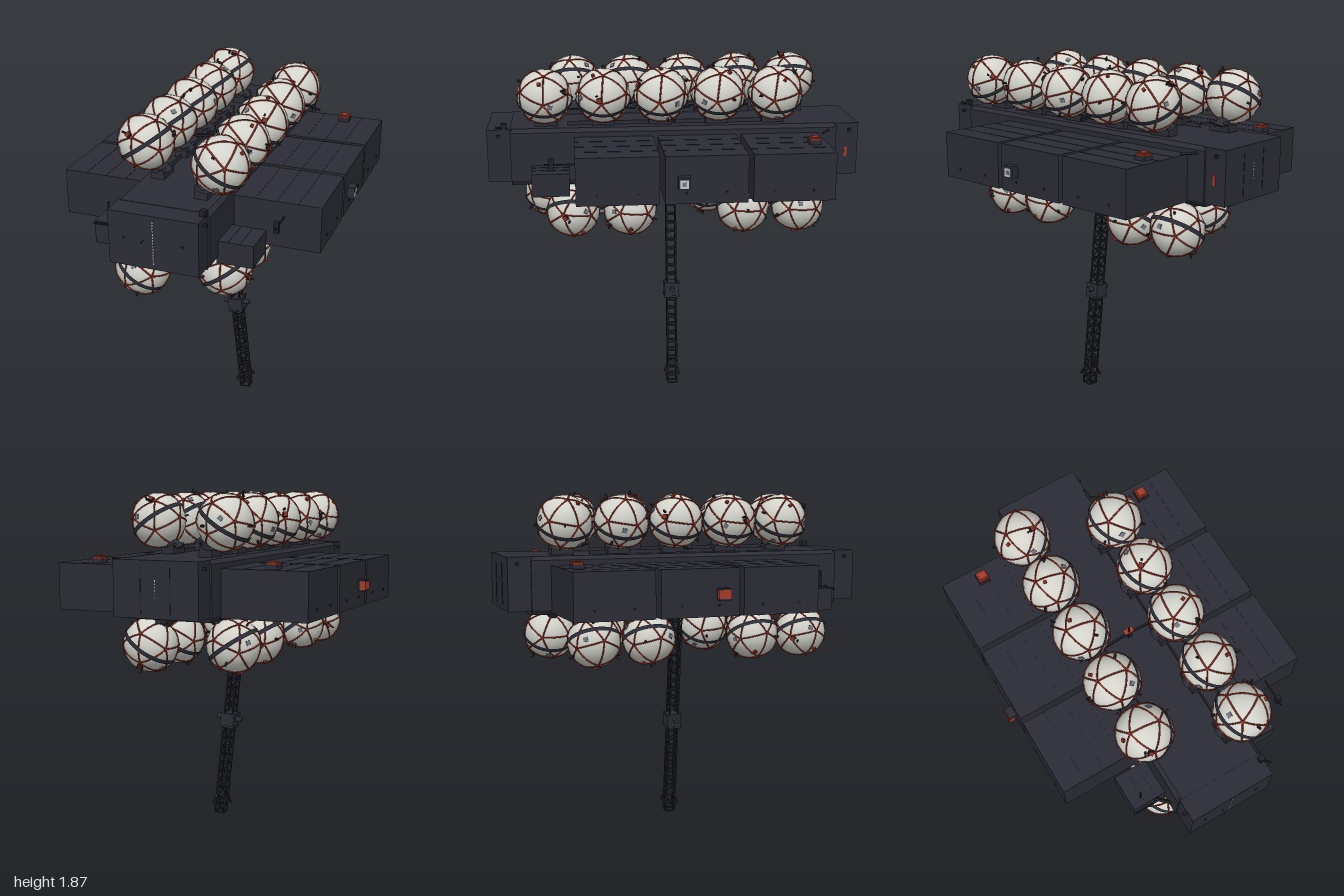
import * as THREE from 'three';
import { mergeGeometries } from 'three/addons/utils/BufferGeometryUtils.js';

const mat = (name, color) => {
  const m = new THREE.MeshStandardMaterial({ color });
  m.name = name;
  return m;
};
const V = (x, y, z) => new THREE.Vector3(x, y, z);

export function createModel() {
  const hull = mat('hullGrey', 0x2b2c35);
  const black = mat('strutBlack', 0x202127);
  const white = mat('tankWhite', 0xd4d4cd);
  const red = mat('strapRed', 0x8c2e21);
  const signal = mat('signalRed', 0xa83c2a);
  const pale = mat('paleGrey', 0xc4c6ca);
  const slate = mat('slateGrey', 0x70757f);

  const root = new THREE.Group();
  root.name = 'tankCarrier';
  const add = (name, geo, m, parent = root) => {
    const mesh = new THREE.Mesh(geo, m);
    mesh.name = name;
    parent.add(mesh);
  };
  // Box given by its limits on each axis, and box given by centre and size
  const block = (x0, x1, y0, y1, z0, z1) => new THREE.BoxGeometry(x1 - x0, y1 - y0, z1 - z0)
    .translate((x0 + x1) / 2, (y0 + y1) / 2, (z0 + z1) / 2);
  const cube = (x, y, z, w, h = w, d = w) => new THREE.BoxGeometry(w, h, d).translate(x, y, z);
  // Square bar between two points
  const bar = (a, b, t) => {
    const d = b.clone().sub(a);
    const q = new THREE.Quaternion().setFromUnitVectors(V(0, 1, 0), d.clone().normalize());
    return new THREE.BoxGeometry(t, d.length(), t).applyQuaternion(q)
      .translate((a.x + b.x) / 2, (a.y + b.y) / 2, (a.z + b.z) / 2);
  };

  // Central body: chamfered section run along z, with end blocks
  const section = new THREE.Shape([
    [-0.225, 1.235], [0.225, 1.235], [0.24, 1.26], [0.24, 1.515], [0.22, 1.535],
    [-0.22, 1.535], [-0.24, 1.515], [-0.24, 1.26],
  ].map(([x, y]) => new THREE.Vector2(x, y)));
  add('centralBody', new THREE.ExtrudeGeometry(section, { depth: 1.73, bevelEnabled: false })
    .translate(0, 0, -0.88), hull);
  add('frontBlock', block(-0.23, 0.23, 1.255, 1.533, 0.84, 0.97), hull);
  add('rearBlock', block(-0.23, 0.23, 1.255, 1.535, -1, -0.87), hull);

  // Side containers, three on each side with open joints, and raised roof seams
  const containers = [], fittings = [];
  for (const s of [-1, 1]) {
    for (const z of [-0.57, -0.13, 0.31]) {
      containers.push(cube(s * 0.46, 1.367, z, 0.46, 0.243, 0.414));
      for (const x of [0.35, 0.46, 0.57]) containers.push(cube(s * x, 1.489, z, 0.002, 0.002, 0.414));
      for (const dz of [-0.1, 0.1]) fittings.push(cube(s * 0.69, 1.3, z + dz, 0.008, 0.012, 0.012));
    }
    // Small forward lockers
    containers.push(cube(s * 0.325, 1.28, 0.643, 0.19, 0.12, 0.195));
    for (const x of [0.29, 0.35]) containers.push(cube(s * x, 1.341, 0.643, 0.002, 0.002, 0.195));
    // Roof beacons
    add('beaconBase', cube(s * 0.485, 1.499, -0.705, 0.06, 0.024, 0.06), hull);
    add('beaconRim', cube(s * 0.485, 1.515, -0.705, 0.056, 0.012, 0.056), red);
    add('beaconLens', cube(s * 0.485, 1.523, -0.705, 0.036, 0.008, 0.036), signal);
    // Tie-down hooks
    for (const z of [-0.95, 0.91]) fittings.push(cube(s * 0.235, 1.5, z, 0.025, 0.015, 0.015));
    fittings.push(cube(s * 0.15, 1.4, 0.971, 0.015, 0.008, 0.006));
    fittings.push(cube(s * 0.08, 1.39, -1, 0.003, 0.22, 0.004));
  }
  add('sideContainers', mergeGeometries(containers), hull);

  // Side ports: pale window on the left, red lamp on the right
  add('leftPort', cube(0.71, 1.36, -0.015, 0.04, 0.06, 0.06), hull);
  add('leftPortFrame', cube(0.731, 1.357, -0.012, 0.006, 0.044, 0.044), pale);
  add('leftPortGlass', cube(0.733, 1.357, -0.012, 0.006, 0.02, 0.02), slate);
  add('rightPort', cube(-0.71, 1.36, -0.015, 0.04, 0.06, 0.06), hull);
  add('rightLamp', cube(-0.718, 1.36, -0.015, 0.03, 0.044, 0.066), signal);
  add('sideMarker', cube(0.231, 1.38, -0.935, 0.006, 0.055, 0.014), signal);

  // Dotted light lines on the nose and rear
  const dots = [];
  for (let i = 0; i < 15; i++) dots.push(cube(0, 1.285 + i * 0.0155, 0.971, 0.005, 0.008, 0.004));
  for (let i = 0; i < 6; i++) dots.push(cube(0, 1.36 + i * 0.0155, -1, 0.005, 0.008, 0.004));
  add('endMarks', mergeGeometries(dots), pale);

  // Roof mast, aerials and instrument booms
  fittings.push(
    bar(V(0, 1.53, -0.015), V(0, 1.635, -0.015), 0.008), cube(0, 1.565, -0.015, 0.022, 0.05, 0.022),
    bar(V(-0.2, 1.555, -0.015), V(0, 1.575, -0.015), 0.012),
    bar(V(0.2, 1.555, -0.015), V(0, 1.575, -0.015), 0.012),
    bar(V(-0.05, 1.4, 0.96), V(-0.05, 1.4, 1), 0.003),
    bar(V(0.5, 1.41, 0.51), V(0.5, 1.41, 0.67), 0.008), cube(0.5, 1.41, 0.635, 0.025, 0.06, 0.025),
    bar(V(-0.36, 1.33, 0.7), V(-0.36, 1.435, 0.7), 0.008),
    bar(V(-0.42, 1.335, 0.755), V(-0.3, 1.335, 0.755), 0.008),
    bar(V(-0.3, 1.33, 0.74), V(-0.24, 1.33, 0.8), 0.014),
    cube(0.22, 1.55, 0.88, 0.03, 0.03, 0.03), bar(V(0.22, 1.54, 0.88), V(0.25, 1.55, 0.92), 0.008),
    bar(V(0.23, 1.5, -0.84), V(0.31, 1.5, -0.79), 0.01));
  add('roofBeacon', cube(0, 1.59, -0.02, 0.052, 0.003, 0.03), signal);
  add('fittings', mergeGeometries(fittings), black);

  // Tank pieces, pole along y
  const R = 0.141;
  const tilt = -Math.atan((1 + Math.sqrt(5)) / 2);
  const shell = new THREE.IcosahedronGeometry(R, 3).rotateX(tilt);
  const raw = new THREE.IcosahedronGeometry(1, 0).rotateX(tilt).getAttribute('position');
  const corners = [];
  for (let i = 0; i < raw.count; i++) {
    const p = new THREE.Vector3().fromBufferAttribute(raw, i);
    if (!corners.some((c) => c.distanceTo(p) < 0.01)) corners.push(p);
  }
  const strapParts = [];
  corners.forEach((a, i) => {
    strapParts.push(bar(a.clone().multiplyScalar(R - 0.004), a.clone().multiplyScalar(R + 0.007), 0.014));
    corners.slice(i + 1).filter((b) => a.distanceTo(b) < 1.1).forEach((b) => {
      const pts = [0, 0.25, 0.5, 0.75, 1].map((t) => a.clone().lerp(b, t).setLength(R));
      strapParts.push(new THREE.TubeGeometry(new THREE.CatmullRomCurve3(pts), 6, 0.0042, 8));
    });
  });
  const straps = mergeGeometries(strapParts);
  const band = new THREE.CylinderGeometry(R + 0.0045, R + 0.0045, 0.022, 40, 1, true);
  // Valves, rods and plates standing off the skin, placed by latitude and longitude
  const stud = (lat, lon, r0, r1, t) => {
    const d = V(Math.cos(lat) * Math.cos(lon), Math.sin(lat), Math.cos(lat) * Math.sin(lon));
    return bar(d.clone().multiplyScalar(R + r0), d.multiplyScalar(R + r1), t);
  };
  const valves = mergeGeometries([
    stud(0.6, 0.4, -0.01, 0.012, 0.026), stud(0.74, 0.55, -0.01, 0.024, 0.008),
    stud(0.5, 3.4, -0.01, 0.022, 0.01), stud(-0.3, 5, -0.01, 0.018, 0.01),
  ]);
  const valveCaps = mergeGeometries([stud(0.6, 0.4, 0.01, 0.015, 0.022), stud(1.2, 2, -0.01, 0.01, 0.016)]);
  const plates = mergeGeometries([[0.35, 1.3], [-0.4, 2.6], [0.3, 4.6]]
    .map(([lat, lon]) => stud(lat, lon, -0.006, 0.002, 0.024)));
  const cradle = mergeGeometries([
    new THREE.CylinderGeometry(0.03, 0.04, 0.06, 10).translate(0, -R - 0.012, 0),
    new THREE.BoxGeometry(0.05, 0.014, 0.12).translate(0, -R - 0.022, 0),
  ]);

  const addTank = (sx, sy, x, y, z, k) => {
    const g = new THREE.Group();
    g.name = 'tank';
    g.position.set(x, y, z);
    g.quaternion.setFromUnitVectors(V(0, 1, 0), V(sx * 0.57, sy * 0.82, 0).normalize());
    const ball = new THREE.Group();
    ball.name = 'ball';
    ball.rotation.y = k * 1.3;
    g.add(ball);
    add('shell', shell, white, ball);
    add('straps', straps, red, ball);
    add('valves', valves, black, ball);
    add('valveCaps', valveCaps, red, ball);
    add('plates', plates, slate, ball);
    add('equatorBand', band, hull, g);
    add('cradle', cradle, hull, g);
    root.add(g);
  };
  // Upper rows of five, lower rows of four with a gap for the mast
  for (let i = 0; i < 5; i++) {
    addTank(-1, 1, -0.228, 1.705, -0.7 + i * 0.303, i);
    addTank(1, 1, 0.226, 1.705, -0.545 + i * 0.302, i + 2);
  }
  [0.66, 0.365, -0.24, -0.545].forEach((z, i) => addTank(-1, -1, -0.2, 1.08, z, i + 1));
  [0.53, 0.225, -0.39, -0.69].forEach((z, i) => addTank(1, -1, 0.2, 1.08, z, i + 3));

  // Rails and seats under the tank rows
  const rails = [];
  for (const s of [-1, 1]) {
    rails.push(cube(s * 0.145, 1.545, 0, 0.008, 0.02, 1.1));
    for (let i = 0; i < 5; i++) {
      rails.push(cube(s * 0.145, 1.555, (s < 0 ? -0.7 : -0.545) + i * 0.302, 0.07, 0.035, 0.12));
    }
    for (const z of s < 0 ? [0.51, -0.39] : [0.378, -0.54]) {
      rails.push(cube(s * 0.125, 1.205, z, 0.03, 0.02, 0.42));
      for (const dz of [-0.15, 0.15]) rails.push(cube(s * 0.125, 1.22, z + dz, 0.07, 0.04, 0.06));
    }
  }
  add('tankRails', mergeGeometries(rails), hull);

  // Lattice mast hanging below, leaning to its left
  const mast = new THREE.Group();
  mast.name = 'latticeMast';
  mast.position.set(0.002, 1.24, -0.01);
  mast.rotation.z = 0.107;
  root.add(mast);
  const L = 1.243, h = 0.025, bays = 25, step = L / bays, lattice = [];
  for (const s of [-1, 1]) {
    for (const t of [-1, 1]) lattice.push(bar(V(s * h, 0, t * h), V(s * h, -L, t * h), 0.008));
    for (let i = 0; i <= bays; i++) {
      const y = -i * step + (i === bays ? 0.003 : 0);
      lattice.push(bar(V(s * h, y, -h), V(s * h, y, h), 0.008));
      lattice.push(bar(V(-h, y, s * h), V(h, y, s * h), 0.005));
      const f = i % 2 ? s : -s;
      if (i < bays) lattice.push(bar(V(-f * h, y, s * h), V(f * h, y - step, s * h), 0.005));
    }
    // Splayed feelers near the tip
    for (const t of [-1, 1]) lattice.push(bar(V(s * 0.012, -1.11, t * 0.012), V(s * 0.04, -1.19, t * 0.04), 0.009));
  }
  add('lattice', mergeGeometries(lattice), black, mast);
  add('mastTip', cube(0, -1.13, 0, 0.025, 0.05, 0.025), black, mast);
  add('mastHub', cube(0, -0.685, 0, 0.08, 0.085, 0.08), hull, mast);
  add('hubAxle', new THREE.CylinderGeometry(0.014, 0.014, 0.15, 10).rotateZ(Math.PI / 2).translate(0, -0.675, 0), hull, mast);
  add('hubCaps', mergeGeometries([-0.72, -0.65].map((y) => cube(0, y, 0, 0.086, 0.01, 0.086))), hull, mast);

  return root;
}
